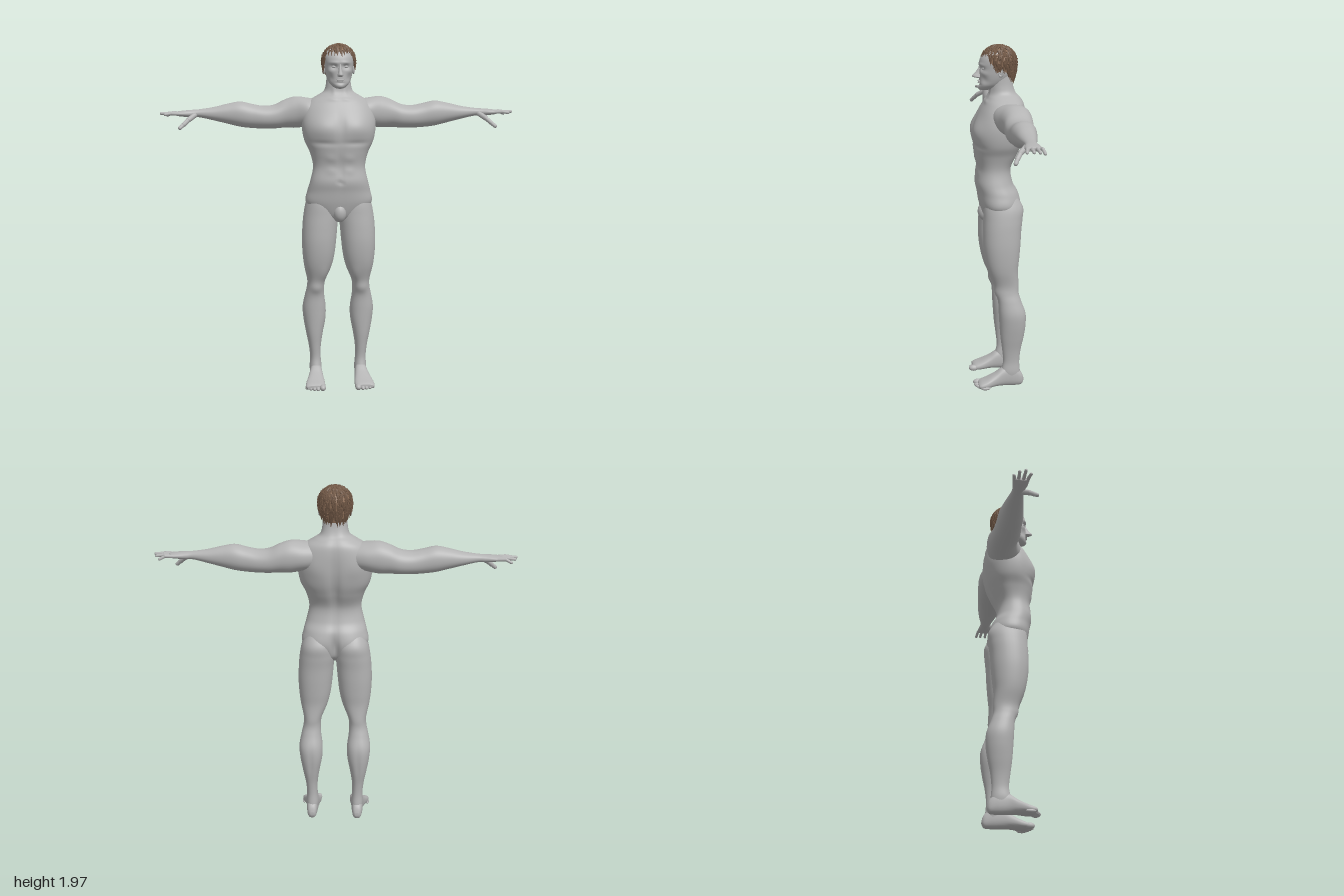
import * as THREE from 'three';
import { mergeGeometries } from 'three/addons/utils/BufferGeometryUtils.js';

const V = (x, y, z) => new THREE.Vector3(x, y, z);

// Where each axis puts (t, u, v)
const AXES = {
  x: (t, u, v) => [t, v, u], // u = z, v = y
  y: (t, u, v) => [u, t, v], // u = x, v = z
  z: (t, u, v) => [u, v, t], // u = x, v = y
};

// Smooth closed loft through rows of [t, u0, u1, v0, v1]; bumps are [x,y,z, rx,ry,rz, amount] on both sides
function loft(axis, rows, { p = 2.2, seg = 40, sub = 6, bumps = [] } = {}) {
  const pos = [], idx = [], last = rows.length - 1, map = AXES[axis];
  const cr = (a, b, c, d, f) => 0.5 * (2 * b + (c - a) * f + (2 * a - 5 * b + 4 * c - d) * f * f + (3 * b - a - 3 * c + d) * f * f * f);
  const bend = (w) => Math.sign(w) * Math.pow(Math.abs(w), 2 / p);
  const n = last * sub;
  for (let i = 0; i <= n; i++) {
    const k = Math.min(Math.floor(i / sub), last - 1), f = i / sub - k;
    const R = [k - 1, k, k + 1, k + 2].map((m) => rows[Math.max(0, Math.min(last, m))]);
    const [t, u0, u1, v0, v1] = rows[0].map((_, c) => cr(R[0][c], R[1][c], R[2][c], R[3][c], f));
    for (let j = 0; j < seg; j++) {
      const a = (j / seg) * Math.PI * 2;
      pos.push(...map(t, (u0 + u1) / 2 + ((u1 - u0) / 2) * bend(Math.cos(a)), (v0 + v1) / 2 + ((v1 - v0) / 2) * bend(Math.sin(a))));
    }
  }
  for (const r of [rows[0], rows[last]]) pos.push(...map(r[0], (r[1] + r[2]) / 2, (r[3] + r[4]) / 2));
  const flip = (axis === 'z' ? 1 : -1) * Math.sign(rows[last][0] - rows[0][0]) < 0;
  const tri = (a, b, c) => (flip ? idx.push(a, c, b) : idx.push(a, b, c));
  const c0 = (n + 1) * seg;
  for (let j = 0; j < seg; j++) {
    const j2 = (j + 1) % seg;
    for (let i = 0; i < n; i++) {
      tri(i * seg + j, i * seg + j2, (i + 1) * seg + j2);
      tri(i * seg + j, (i + 1) * seg + j2, (i + 1) * seg + j);
    }
    tri(c0, j2, j);
    tri(c0 + 1, n * seg + j, n * seg + j2);
  }
  const g = new THREE.BufferGeometry();
  g.setAttribute('position', new THREE.Float32BufferAttribute(pos, 3));
  g.setIndex(idx);
  g.computeVertexNormals();
  const P = g.attributes.position, N = g.attributes.normal;
  for (let i = 0; i < P.count; i++) {
    const x = P.getX(i), y = P.getY(i), z = P.getZ(i);
    let d = 0;
    for (const [bx, by, bz, rx, ry, rz, amt] of bumps)
      d += amt * Math.exp(-(((Math.abs(x) - bx) / rx) ** 2) - ((y - by) / ry) ** 2 - ((z - bz) / rz) ** 2);
    P.setXYZ(i, x + N.getX(i) * d, y + N.getY(i) * d, z + N.getZ(i) * d);
  }
  g.computeVertexNormals();
  return g;
}

const symmetric = (rows) => rows.map(([y, w, z0, z1]) => [y, -w, w, z0, z1]);

function mirror(geo) {
  const g = geo.clone().scale(-1, 1, 1), a = g.index.array;
  for (let i = 0; i < a.length; i += 3) [a[i], a[i + 1]] = [a[i + 1], a[i]];
  return g;
}

const ball = (x, y, z, rx, ry, rz) => new THREE.SphereGeometry(1, 20, 14).scale(rx, ry, rz).translate(x, y, z);

// Chain of capsules through points
function digit(points, r) {
  return mergeGeometries(points.slice(1).map((b, i) => {
    const a = points[i], d = b.clone().sub(a), q = new THREE.Quaternion().setFromUnitVectors(V(0, 1, 0), d.clone().normalize());
    return new THREE.CapsuleGeometry(r * (1 - 0.12 * i), d.length(), 5, 10).applyQuaternion(q).translate((a.x + b.x) / 2, (a.y + b.y) / 2, (a.z + b.z) / 2);
  }));
}

// Hairline: polar reach from the crown at each heading (0 = front, 1 = back)
const LINE = [[0, 1.2], [0.25, 1.25], [0.37, 1.75], [0.43, 2.2], [0.52, 1.9], [0.62, 2.2], [0.75, 2.6], [1, 2.7]];
function hairline(phi) {
  const h = Math.abs(Math.atan2(Math.sin(phi), Math.cos(phi))) / Math.PI;
  const k = Math.max(1, LINE.findIndex((e) => e[0] >= h - 1e-9)), [a, b] = [LINE[k - 1], LINE[k]];
  return a[1] + ((b[1] - a[1]) * (h - a[0])) / (b[0] - a[0]);
}
function hairPoint(phi, a, lift = 0) {
  const low = Math.max(0, a - Math.PI / 2);
  const r = low ? 1 - 0.13 * low * low : Math.sin(a);
  const y = low ? -low : Math.cos(a);
  return V(Math.sin(phi) * r * (0.092 + lift), 1.87 + y * (0.088 + lift), -0.008 + Math.cos(phi) * r * (0.099 + lift));
}

export function createModel() {
  const model = new THREE.Group();
  const skin = new THREE.MeshStandardMaterial({ name: 'grey skin', color: 0xb4b4b4 });
  const hair = new THREE.MeshStandardMaterial({ name: 'brown hair', color: 0x775d4a });
  const scalpTone = new THREE.MeshStandardMaterial({ name: 'light brown scalp', color: 0x8d6f58, side: THREE.DoubleSide });
  const add = (name, geo, mat = skin) => {
    const m = new THREE.Mesh(geo, mat);
    m.name = name;
    model.add(m);
  };
  const pair = (name, geo) => {
    add(name + 'Left', geo);
    add(name + 'Right', mirror(geo));
  };

  // Torso and neck
  add('torso', loft('y', symmetric([
    [0.965, 0.04, -0.05, 0.05], [1.0, 0.12, -0.09, 0.08], [1.07, 0.186, -0.112, 0.103], [1.14, 0.178, -0.11, 0.115],
    [1.2, 0.162, -0.082, 0.126], [1.28, 0.147, -0.072, 0.116], [1.36, 0.165, -0.108, 0.13], [1.42, 0.193, -0.132, 0.138],
    [1.48, 0.206, -0.145, 0.142], [1.54, 0.208, -0.15, 0.128], [1.6, 0.196, -0.15, 0.1], [1.645, 0.165, -0.143, 0.074],
    [1.675, 0.118, -0.126, 0.056], [1.7, 0.082, -0.103, 0.044], [1.74, 0.07, -0.088, 0.04], [1.8, 0.066, -0.08, 0.035],
  ]), { p: 2.35, seg: 72, sub: 7, bumps: [
    [0.095, 1.5, 0.13, 0.07, 0.05, 0.06, 0.011], [0.09, 1.415, 0.13, 0.08, 0.014, 0.06, -0.006], // chest
    [0, 1.5, 0.14, 0.014, 0.08, 0.05, -0.008], [0, 1.28, 0.12, 0.01, 0.1, 0.05, -0.005],
    [0.05, 1.33, 0.12, 0.03, 0.02, 0.04, 0.004], [0.05, 1.26, 0.115, 0.03, 0.02, 0.04, 0.004], // abdomen
    [0, 1.195, 0.125, 0.01, 0.012, 0.03, -0.008],
    [0, 1.4, -0.13, 0.024, 0.22, 0.07, -0.018], [0.11, 1.53, -0.14, 0.055, 0.06, 0.05, 0.006], // back
    [0.085, 1.07, -0.1, 0.06, 0.06, 0.06, 0.014], [0, 1.06, -0.11, 0.016, 0.07, 0.06, -0.025],
    [0.035, 1.655, 0.07, 0.03, 0.01, 0.03, 0.004], [0.03, 1.7, 0.03, 0.012, 0.04, 0.03, 0.004],
  ] }));
  add('groin', ball(0, 1.02, 0.07, 0.038, 0.055, 0.042));

  // Legs
  pair('leg', loft('y', [
    [1.15, 0.04, 0.155, -0.08, 0.07], [1.07, 0.008, 0.186, -0.13, 0.088], [1.0, 0.002, 0.2, -0.128, 0.092],
    [0.93, 0.008, 0.207, -0.12, 0.095], [0.85, 0.015, 0.21, -0.115, 0.095], [0.77, 0.025, 0.206, -0.108, 0.086],
    [0.7, 0.042, 0.197, -0.101, 0.069], [0.62, 0.075, 0.18, -0.104, 0.038], [0.57, 0.082, 0.182, -0.104, 0.026],
    [0.52, 0.08, 0.193, -0.118, 0.014], [0.45, 0.071, 0.205, -0.143, 0.01], [0.38, 0.073, 0.2, -0.145, 0.006],
    [0.3, 0.088, 0.186, -0.134, 0], [0.22, 0.1, 0.17, -0.117, -0.01], [0.15, 0.101, 0.163, -0.11, -0.016],
    [0.09, 0.096, 0.166, -0.114, -0.004], [0.04, 0.102, 0.16, -0.118, 0],
  ], { bumps: [
    [0.13, 0.575, 0.03, 0.028, 0.03, 0.03, 0.007], [0.09, 0.66, 0.04, 0.03, 0.05, 0.04, 0.006],
    [0.135, 0.36, -0.14, 0.012, 0.1, 0.03, -0.005],
  ] }));

  // Feet and toes
  pair('foot', loft('z', [
    [-0.134, 0.12, 0.142, 0.025, 0.045], [-0.12, 0.107, 0.157, 0.004, 0.08], [-0.08, 0.1, 0.164, 0, 0.115],
    [-0.02, 0.095, 0.167, 0.002, 0.115], [0.03, 0.09, 0.18, 0.004, 0.082], [0.08, 0.085, 0.195, 0, 0.055],
    [0.115, 0.087, 0.197, 0.002, 0.04], [0.13, 0.095, 0.188, 0.008, 0.03],
  ], { p: 2.5, seg: 28 }));
  pair('toes', mergeGeometries([0, 1, 2, 3, 4].map((i) => {
    const r = i ? 0.0125 - i * 0.0006 : 0.018;
    return ball(i ? 0.108 + i * 0.0205 : 0.102, r, 0.128 - i * i * 0.0022, r, r, 0.028);
  })));

  // Arms and palms
  pair('arm', loft('x', [
    [0.1, -0.13, 0.04, 1.51, 1.65], [0.17, -0.15, 0.048, 1.5, 1.66], [0.24, -0.155, 0.022, 1.49, 1.667],
    [0.3, -0.152, 0.01, 1.491, 1.65], [0.36, -0.147, 0.012, 1.487, 1.622], [0.42, -0.14, 0.013, 1.487, 1.615],
    [0.48, -0.133, 0.01, 1.49, 1.625], [0.55, -0.128, 0.01, 1.498, 1.64], [0.62, -0.117, 0.001, 1.515, 1.629],
    [0.7, -0.103, -0.01, 1.535, 1.61], [0.78, -0.086, -0.021, 1.553, 1.598], [0.82, -0.086, -0.019, 1.553, 1.595],
    [0.86, -0.091, -0.01, 1.556, 1.592], [0.9, -0.094, -0.008, 1.561, 1.587], [0.915, -0.088, -0.014, 1.566, 1.582],
  ]));

  // Fingers and thumbs
  const fingers = [[-0.084, 0.96, -0.096, 1.562], [-0.063, 0.982, -0.068, 1.573], [-0.039, 0.991, -0.036, 1.577], [-0.018, 0.968, -0.006, 1.572]];
  pair('fingers', mergeGeometries(fingers.map(([z, x, z2, y2]) =>
    digit([V(0.885, 1.574, z), V((0.9 + x) / 2, 1.577, (z + z2) / 2), V(x, y2, z2)], 0.0095))));
  pair('thumb', digit([V(0.8, 1.57, -0.035), V(0.838, 1.543, 0.004), V(0.865, 1.518, 0.024), V(0.886, 1.5, 0.036)], 0.0145));

  // Head
  add('head', loft('y', symmetric([
    [1.716, 0.018, 0.045, 0.088], [1.726, 0.036, 0.01, 0.099], [1.745, 0.055, -0.03, 0.102], [1.77, 0.067, -0.065, 0.1],
    [1.8, 0.075, -0.085, 0.099], [1.835, 0.08, -0.094, 0.099], [1.87, 0.084, -0.098, 0.099], [1.9, 0.082, -0.094, 0.088],
    [1.93, 0.066, -0.072, 0.062], [1.948, 0.02, -0.03, 0.02],
  ]), { p: 2.25, seg: 64, bumps: [
    [0.034, 1.836, 0.09, 0.017, 0.012, 0.03, -0.013], [0.03, 1.858, 0.095, 0.028, 0.008, 0.03, 0.005], // eye sockets, brow
    [0.05, 1.812, 0.075, 0.018, 0.014, 0.03, 0.004], [0.05, 1.775, 0.075, 0.016, 0.02, 0.03, -0.005], // cheeks
    [0, 1.748, 0.1, 0.025, 0.006, 0.02, -0.005], [0, 1.73, 0.1, 0.018, 0.01, 0.02, 0.004], // chin
  ] }));
  add('nose', loft('y', symmetric([
    [1.853, 0.007, 0.08, 0.1], [1.835, 0.008, 0.08, 0.107], [1.812, 0.011, 0.08, 0.123],
    [1.796, 0.015, 0.08, 0.139], [1.787, 0.017, 0.08, 0.134], [1.782, 0.01, 0.085, 0.115],
  ]), { p: 1.8, seg: 24 }));
  add('lips', mergeGeometries([ball(0, 1.766, 0.099, 0.023, 0.005, 0.01), ball(0, 1.757, 0.098, 0.019, 0.005, 0.01)]));
  pair('eye', ball(0.033, 1.836, 0.077, 0.013, 0.008, 0.011));
  pair('ear', mergeGeometries([
    new THREE.TorusGeometry(0.017, 0.0055, 8, 20).scale(0.75, 1.35, 1).rotateY(Math.PI / 2 - 0.3).translate(0.084, 1.823, -0.008),
    ball(0.08, 1.823, -0.006, 0.006, 0.022, 0.013),
  ]));

  // Scalp following the hairline
  const cap = new THREE.PlaneGeometry(1, 1, 64, 20), P = cap.attributes.position;
  for (let i = 0; i < P.count; i++) {
    const phi = (P.getX(i) + 0.5) * Math.PI * 2, s = 0.5 - P.getY(i);
    P.setXYZ(i, ...hairPoint(phi, Math.max(0.001, s * hairline(phi))).toArray());
  }
  cap.computeVertexNormals();
  add('scalp', cap, scalpTone);

  // Short overlapping tufts of hair
  let seed = 7;
  const rnd = () => (seed = (seed * 16807) % 2147483647) / 2147483647;
  const tufts = [];
  for (let a = 0.05; a < 2.6; a += 0.17) {
    const count = Math.round(Math.sin(Math.min(a, Math.PI / 2)) * 30) + 4;
    for (let i = 0; i < count; i++) {
      const phi = ((i + rnd() * 0.8) / count) * Math.PI * 2;
      if (a + 0.26 > hairline(phi) + 0.08) continue;
      const from = hairPoint(phi, a, -0.002), to = hairPoint(phi + (rnd() - 0.5) * 0.25, a + 0.38 + rnd() * 0.12, 0.006);
      const d = to.clone().sub(from), mid = from.clone().add(to).multiplyScalar(0.5);
      const q = new THREE.Quaternion().setFromUnitVectors(V(0, 1, 0), d.clone().normalize());
      tufts.push(new THREE.ConeGeometry(0.0105, d.length(), 5).applyQuaternion(q).translate(mid.x, mid.y, mid.z));
    }
  }
  add('hair', mergeGeometries(tufts), hair);
  return model;
}
